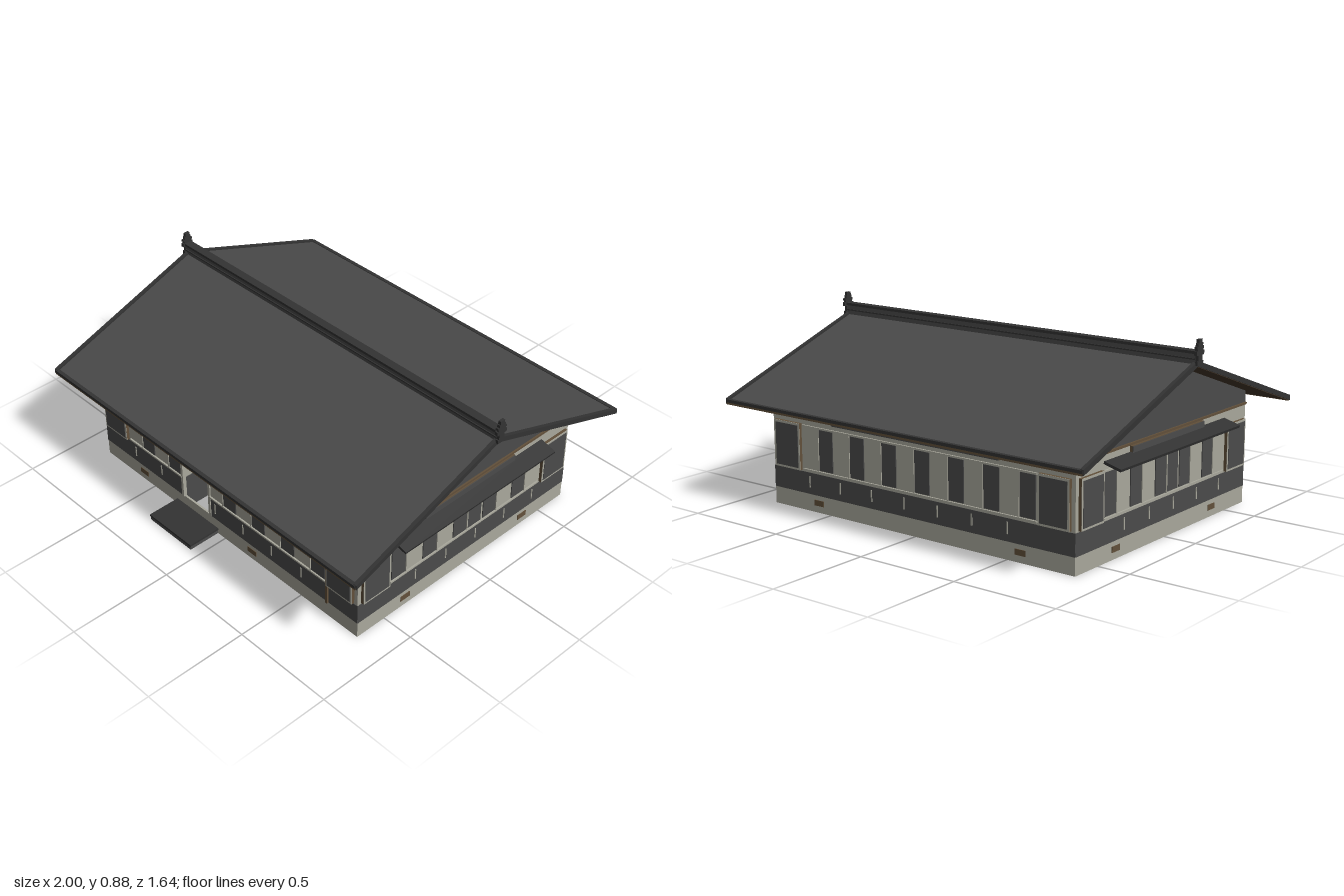
import * as THREE from 'three';

const mat = (name, color, side = THREE.FrontSide) => {
  const m = new THREE.MeshStandardMaterial({ color, side });
  m.name = name;
  return m;
};

export function createModel() {
  const plaster = mat('plaster', 0xa9a89c);
  const dark = mat('dark panel', 0x4b4b4b);
  const tile = mat('roof tile', 0x4a4a4a);
  const trim = mat('roof trim', 0x333333);
  const wood = mat('wood', 0x62503a);
  const soffitWood = mat('dark wood', 0x46382a);

  const house = new THREE.Group();
  house.name = 'house';
  const HX = 0.845, HZ = 0.66, FLOOR = 0.18, TOP = 0.475;
  const CX = HX * 2 / 9, CZ = HZ * 2 / 7;          // grid cell sizes
  const E0 = -HX + 3 * CX, E1 = E0 + CX, EZ = HZ - CZ; // entrance recess

  const add = (parent, name, geo, m) => {
    const mesh = new THREE.Mesh(geo, m);
    mesh.name = name;
    parent.add(mesh);
    return mesh;
  };
  // Box given by its limits on each axis
  const box = (parent, name, m, x0, x1, y0, y1, z0, z1) => {
    const mesh = add(parent, name, new THREE.BoxGeometry(x1 - x0, y1 - y0, z1 - z0), m);
    mesh.position.set((x0 + x1) / 2, (y0 + y1) / 2, (z0 + z1) / 2);
    return mesh;
  };
  const group = (name) => {
    const g = new THREE.Group();
    g.name = name;
    house.add(g);
    return g;
  };
  // Profile in (z, y), symmetric in z, drawn along x
  const prism = (parent, name, m, pts, x0, x1) => {
    const shape = new THREE.Shape(pts.map(p => new THREE.Vector2(p[0], p[1])));
    const geo = new THREE.ExtrudeGeometry(shape, { depth: x1 - x0, bevelEnabled: false });
    geo.rotateY(Math.PI / 2).translate(x0, 0, 0);
    return add(parent, name, geo, m);
  };

  // Upper walls, one solid with a notch for the entrance
  const plan = new THREE.Shape([
    [-HX, -HZ], [E0, -HZ], [E0, -EZ], [E1, -EZ], [E1, -HZ], [HX, -HZ], [HX, HZ], [-HX, HZ],
  ].map(p => new THREE.Vector2(p[0], p[1])));
  const wallGeo = new THREE.ExtrudeGeometry(plan, { depth: TOP - FLOOR, bevelEnabled: false });
  wallGeo.rotateX(-Math.PI / 2).translate(0, FLOOR, 0);
  add(house, 'upperWalls', wallGeo, plaster);

  // Joist grid below the floor, and the floor's dark underside
  const under = group('underfloor');
  for (let i = 0; i <= 9; i++) {
    const x = THREE.MathUtils.clamp(-HX + i * CX, -HX + 0.012, HX - 0.012);
    box(under, 'joist', dark, x - 0.003, x + 0.003, 0.001, FLOOR, -HZ + 0.01, HZ - 0.01);
  }
  for (let j = 0; j <= 7; j++) {
    const z = THREE.MathUtils.clamp(-HZ + j * CZ, -HZ + 0.012, HZ - 0.012);
    const spans = j === 7 ? [[-HX + 0.01, E0], [E1, HX - 0.01]] : [[-HX + 0.01, HX - 0.01]];
    for (const [a, b] of spans) box(under, 'joist', dark, a, b, 0.001, FLOOR, z - 0.003, z + 0.003);
  }
  box(under, 'floorUnderside', dark, -HX + 0.01, HX - 0.01, FLOOR - 0.008, FLOOR - 0.002, -HZ + 0.01, EZ);
  box(under, 'floorUnderside', dark, -HX + 0.01, E0, FLOOR - 0.008, FLOOR - 0.002, EZ, HZ - 0.01);
  box(under, 'floorUnderside', dark, E1, HX - 0.01, FLOOR - 0.008, FLOOR - 0.002, EZ, HZ - 0.01);

  // Wooden ground slab with an opening in the middle
  const bx = 3.5 * CX, bz = 2.5 * CZ, hx = 0.5 * CX, hz = 1.5 * CZ;
  for (const s of [-1, 1]) {
    const [x0, x1] = s < 0 ? [-bx, -hx] : [hx, bx];
    const [z0, z1] = s < 0 ? [-bz, -hz] : [hz, bz];
    box(under, 'groundSlab', soffitWood, x0, x1, 0, 0.008, -bz, bz);
    box(under, 'groundSlab', soffitWood, -hx, hx, 0, 0.008, z0, z1);
  }

  // One side of the house; u runs to the right, d is the wall's distance
  const facade = (name, angle, hw, d, n, o) => {
    const g = group(name);
    g.rotation.y = angle;
    const c = hw * 2 / n, w = c / 2 - 0.012;
    box(g, 'foundation', plaster, -hw, hw, 0, 0.08, d - 0.01, d);
    const spans = o.entrance ? [[-hw, E0], [E1, hw]] : [[-hw, hw]];
    for (const [a, b] of spans) box(g, 'wainscot', dark, a, b, 0.08, FLOOR, d - 0.01, d + 0.002);
    const pane = (u) => box(g, 'windowPane', dark, u, u + w, 0.2, 0.388, d, d + 0.004);
    for (let i = 0; i < n; i++) {
      const u = -hw + i * c;
      if (o.entrance && i === 3) continue;
      if (i === 0 || i === n - 1) {
        // Shutter box with a pale frame
        const a = i === 0 ? u + 0.02 : u + 0.012, b = a + c - 0.032;
        box(g, 'shutterBox', wood, a, b, 0.185, 0.402, d, d + 0.014);
        box(g, 'shutterFrame', plaster, a, b, 0.185, 0.402, d + 0.014, d + 0.016);
        box(g, 'shutterPanel', dark, a + 0.009, b - 0.009, 0.195, 0.392, d + 0.016, d + 0.018);
      } else {
        if (o.left || i === o.both) pane(u + 0.007);
        if (!o.left || i === o.both) pane(u + c / 2 + 0.005);
        for (const y of [0.188, 0.39]) box(g, 'windowRail', plaster, u, u + c, y, y + 0.008, d, d + 0.008);
        box(g, 'mullion', plaster, u + c / 2 - 0.003, u + c / 2 + 0.003, 0.19, 0.395, d, d + 0.006);
      }
      // Short batten on the wainscot
      if (i > 0 && i < n - 1) {
        const t = u + (o.left ? 0.153 : 0.035);
        box(g, 'batten', plaster, t - 0.003, t + 0.003, 0.112, 0.165, d, d + 0.005);
      }
    }
    for (const u of o.vents) box(g, 'vent', wood, u - 0.028, u + 0.028, 0.032, 0.058, d, d + 0.003);
    box(g, 'lintelBox', wood, -o.lintel, o.lintel, 0.42, 0.462, d, d + 0.012);
    box(g, 'lintelFace', dark, -o.lintel, o.lintel, 0.42, 0.46, d + 0.012, d + 0.016);
    box(g, 'wallPlate', wood, -hw, hw, 0.465, TOP, d, d + 0.008);
    if (o.canopy) {
      const canopy = box(g, 'canopy', trim, -0.47, 0.47, 0.414, 0.426, d, d + 0.085);
      canopy.rotation.x = 0.26;
    }
    return g;
  };
  const front = facade('frontWall', 0, HX, HZ, 9, { entrance: true, vents: [-0.57, 0.185], lintel: 0.47 });
  facade('backWall', Math.PI, HX, HZ, 9, { vents: [-0.57, 0.57], lintel: 0.47 });
  for (const s of [1, -1]) {
    facade(s > 0 ? 'leftWall' : 'rightWall', s * Math.PI / 2, HZ, HX, 7,
      { left: true, both: 3, vents: [-0.375, 0.38], lintel: 0.28, canopy: true });
  }

  // Entrance: posts, recessed double door, raised sill and outside step
  box(front, 'downpipe', wood, 0.662, 0.674, 0.08, TOP, HZ, HZ + 0.012);
  const entrance = group('entrance');
  for (const x of [E0, E1]) box(entrance, 'post', plaster, x - 0.007, x + 0.007, 0.08, 0.42, HZ - 0.012, HZ + 0.006);
  box(entrance, 'head', plaster, E0, E1, 0.392, TOP, HZ - 0.012, HZ);
  const em = (E0 + E1) / 2;
  for (const [a, b] of [[E0 + 0.012, em - 0.005], [em + 0.005, E1 - 0.012]]) {
    box(entrance, 'door', dark, a, b, 0.19, 0.39, EZ, EZ + 0.005);
  }
  box(entrance, 'sill', trim, E0, E1, 0.168, 0.188, EZ, EZ + 0.07);
  box(entrance, 'step', dark, -0.33, -0.05, 0, 0.024, HZ, 0.82);
  box(entrance, 'stepEdge', trim, -0.333, -0.047, 0.02, 0.03, HZ, 0.823);

  // Gabled roof: dark gable core, wood underside, tiles, verges and eaves
  const roof = group('roof');
  const RZ = 0.81, EAVE = 0.487, RIDGE = 0.777, RX = 0.985;
  const chevron = (low, high, z = RZ) => [
    [-z, EAVE + low], [0, RIDGE + low], [z, EAVE + low],
    [z, EAVE + high], [0, RIDGE + high], [-z, EAVE + high],
  ];
  const gy = EAVE - 0.012 + (RIDGE - EAVE) * (1 - HZ / RZ);
  prism(roof, 'gable', dark, [[-HZ, TOP], [HZ, TOP], [HZ, gy], [0, RIDGE - 0.012], [-HZ, gy]], -HX, HX);
  prism(roof, 'roofBoards', soffitWood, chevron(-0.014, -0.004), -RX, RX);
  prism(roof, 'roofTiles', tile, chevron(-0.004, 0.004), -RX, RX);
  for (const s of [-1, 1]) {
    const [x0, x1] = s < 0 ? [-RX - 0.005, -RX + 0.013] : [RX - 0.013, RX + 0.005];
    prism(roof, 'verge', trim, chevron(-0.012, 0.012, RZ + 0.004), x0, x1);
    box(roof, 'eaveEdge', trim, -RX, RX, EAVE - 0.004, EAVE + 0.01, s * RZ - 0.009, s * RZ + 0.009);
    box(roof, 'fascia', wood, -RX, RX, EAVE - 0.014, EAVE - 0.003, s * RZ - 0.006, s * RZ + 0.006);
  }

  // Stacked ridge with end ornaments
  box(roof, 'ridgeBase', tile, -RX, RX, 0.765, 0.822, -0.014, 0.014);
  box(roof, 'ridgeCourse', trim, -RX, RX, 0.795, 0.801, -0.019, 0.019);
  box(roof, 'ridgeCap', trim, -RX, RX, 0.82, 0.832, -0.02, 0.02);
  const tiers = [[0.022, 0.772], [0.016, 0.79], [0.028, 0.815], [0.021, 0.833], [0.026, 0.842], [0.018, 0.852], [0.013, 0.866]];
  for (const s of [-1, 1]) {
    tiers.forEach(([w, y], i) => {
      const top = i + 1 < tiers.length ? tiers[i + 1][1] : 0.882;
      const x = s * 0.993;
      box(roof, 'ridgeOrnament', trim, x - 0.007, x + 0.007, y, top, -w, w);
    });
  }
  return house;
}
